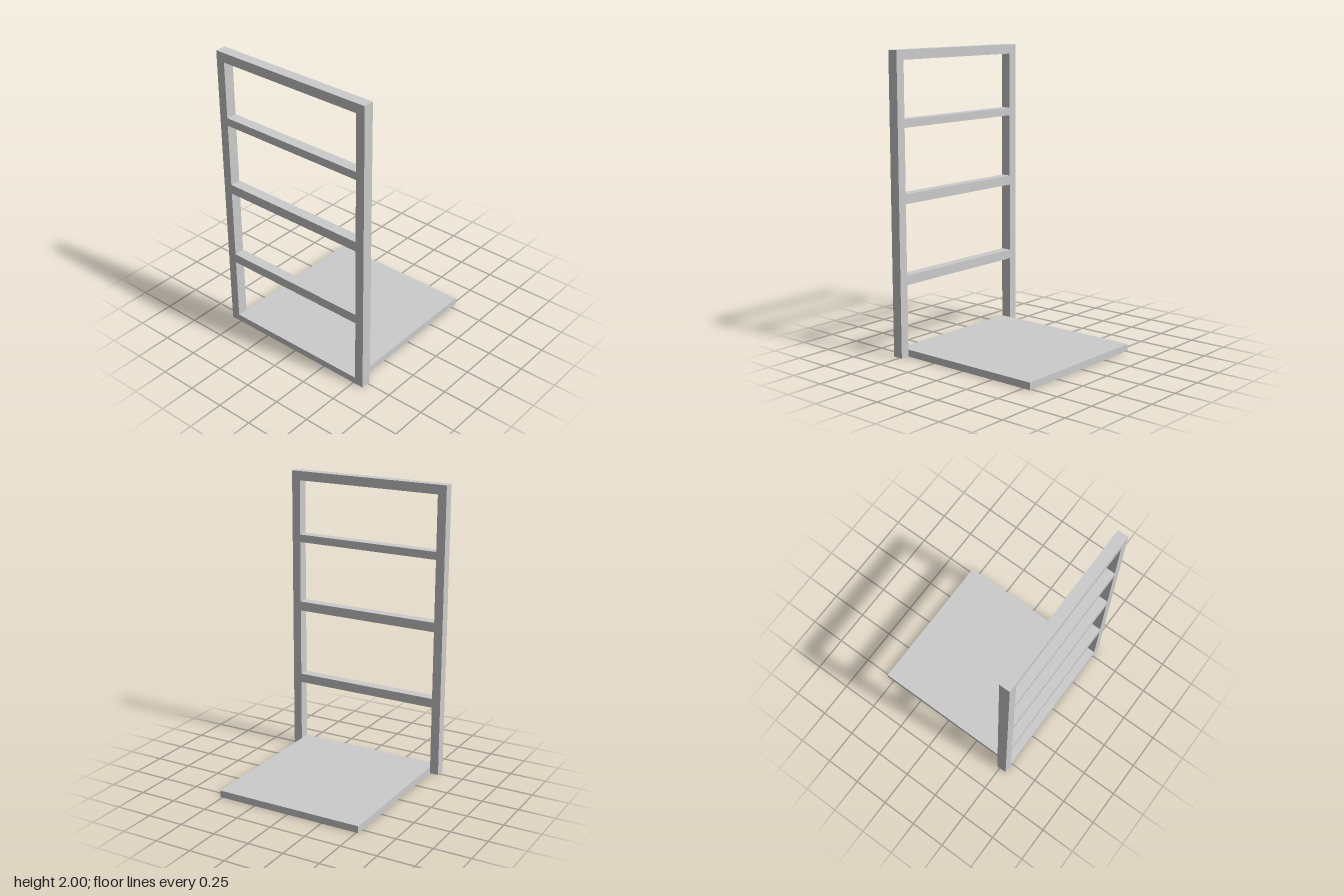
import * as THREE from 'three';

const material = new THREE.MeshStandardMaterial({ color: 0xcccccc });

// Box given by its limits on each axis
function slab(name, [x0, x1], [y0, y1], [z0, z1]) {
  const mesh = new THREE.Mesh(new THREE.BoxGeometry(x1 - x0, y1 - y0, z1 - z0), material);
  mesh.position.set((x0 + x1) / 2, (y0 + y1) / 2, (z0 + z1) / 2);
  mesh.name = name;
  return mesh;
}

export function createModel() {
  const group = new THREE.Group();
  group.name = 'ladderRack';

  const outer = 0.576, inner = 0.515;
  const depth = [0.479, 0.551];
  const span = [-inner, inner];

  // Upright posts
  group.add(slab('leftPost', [inner, outer], [0, 2], depth));
  group.add(slab('rightPost', [-outer, -inner], [0, 2], depth));

  // Rungs and top rail between the posts
  const rungs = [[0.482, 0.545], [1.016, 1.081], [1.508, 1.561]];
  rungs.forEach((y, i) => group.add(slab(`rung${i + 1}`, span, y, depth)));
  group.add(slab('topRail', span, [1.937, 2], depth));

  // Base plate, flush with the front of the posts
  group.add(slab('basePlate', span, [0, 0.047], [-0.551, 0.551]));

  return group;
}
